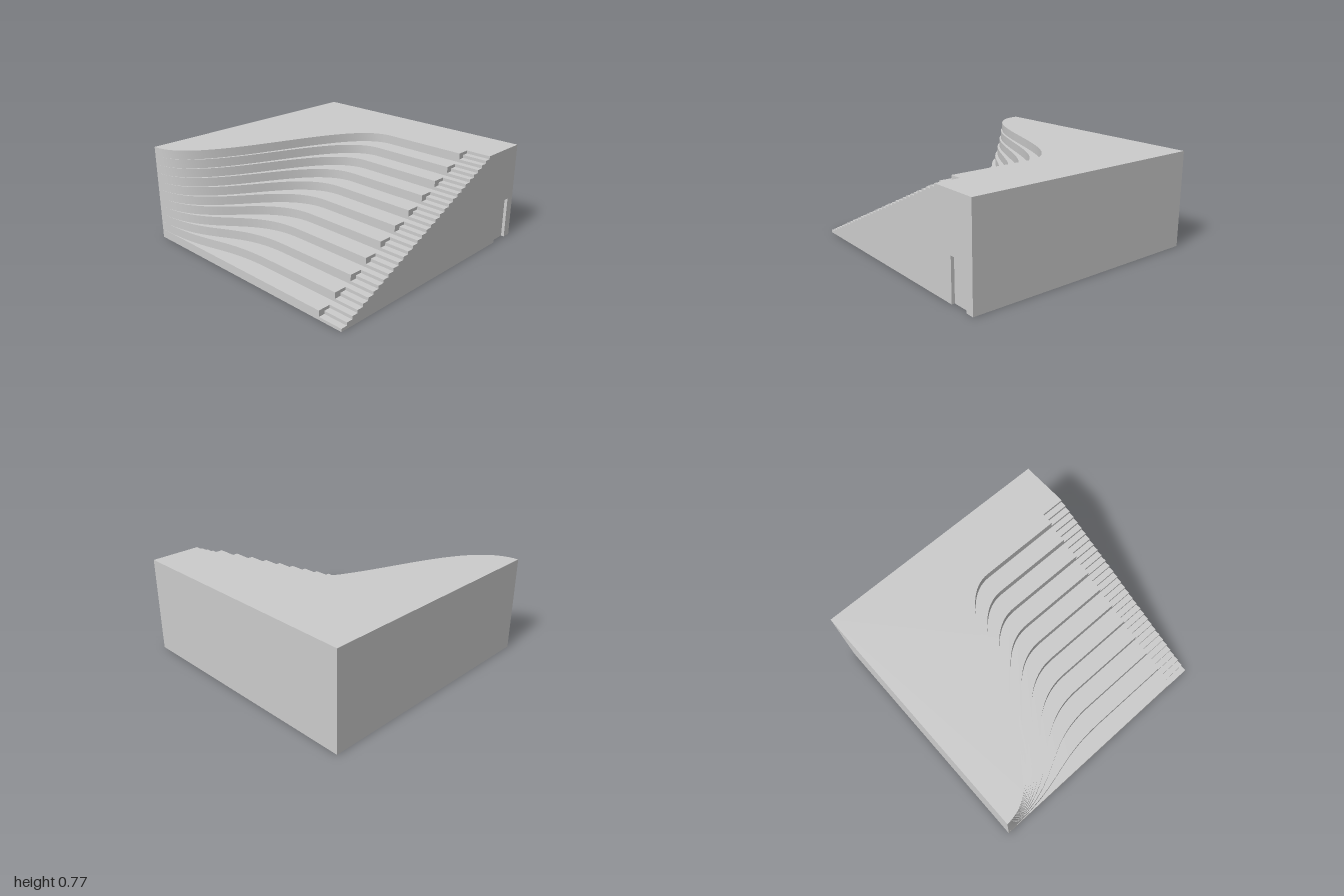
import * as THREE from 'three';
import { toCreasedNormals } from 'three/addons/utils/BufferGeometryUtils.js';

const LAYERS = 11, RISE = 0.07, RUN = 0.15, STEPS = 3;
const STAIR_X = 0.8, DOOR_DEPTH = 0.025;
const DOOR = { z0: -0.77, z1: -0.93, height: 0.335 };

const material = new THREE.MeshStandardMaterial({ color: 0xcccccc });

function addMesh(group, geometry, name) {
  const mesh = new THREE.Mesh(geometry, material);
  mesh.name = name;
  group.add(mesh);
}

// One terrace slab in plan (shape y = -z): its front edge sweeps back in an S-curve
function terrace(k) {
  const front = -1 + RUN * k;
  const shape = new THREE.Shape();
  shape.moveTo(-1, -1);
  if (k > 0) shape.bezierCurveTo(-0.4, -1, -0.4, front, 0.13, front);
  shape.lineTo(STAIR_X, front);
  shape.lineTo(STAIR_X, 1);
  shape.lineTo(-1, 1);
  const geometry = new THREE.ExtrudeGeometry(shape, { depth: RISE, bevelEnabled: false, curveSegments: 48 });
  geometry.rotateX(-Math.PI / 2).translate(0, RISE * k, 0);
  return toCreasedNormals(geometry, 0.5);
}

// Side profile of the stair flight (shape x = -z), optionally with the doorway cut out
function stairSlab(x0, x1, withDoor) {
  const shape = new THREE.Shape();
  const rise = RISE / STEPS, run = RUN / STEPS, count = LAYERS * STEPS;
  shape.moveTo(-1, 0);
  for (let j = 0; j < count; j++) {
    shape.lineTo(-1 + run * j, rise * (j + 1));
    if (j < count - 1) shape.lineTo(-1 + run * (j + 1), rise * (j + 1));
  }
  shape.lineTo(1, LAYERS * RISE);
  shape.lineTo(1, 0);
  if (withDoor) {
    shape.lineTo(-DOOR.z1, 0);
    shape.lineTo(-DOOR.z1, DOOR.height);
    shape.lineTo(-DOOR.z0, DOOR.height);
    shape.lineTo(-DOOR.z0, 0);
  }
  const geometry = new THREE.ExtrudeGeometry(shape, { depth: x1 - x0, bevelEnabled: false });
  return geometry.rotateY(Math.PI / 2).translate(x0, 0, 0);
}

export function createModel() {
  const model = new THREE.Group();
  model.name = 'terracedBuilding';

  // Stacked terraces
  const terraces = new THREE.Group();
  terraces.name = 'terraces';
  for (let k = 0; k < LAYERS; k++) addMesh(terraces, terrace(k), `terrace${k + 1}`);
  model.add(terraces);

  // Stair flight along the left side, its outer skin holding the recessed doorway
  const stairs = new THREE.Group();
  stairs.name = 'stairs';
  addMesh(stairs, stairSlab(STAIR_X, 1 - DOOR_DEPTH, false), 'stairFlight');
  addMesh(stairs, stairSlab(1 - DOOR_DEPTH, 1, true), 'sideWallWithDoorway');
  model.add(stairs);

  return model;
}
